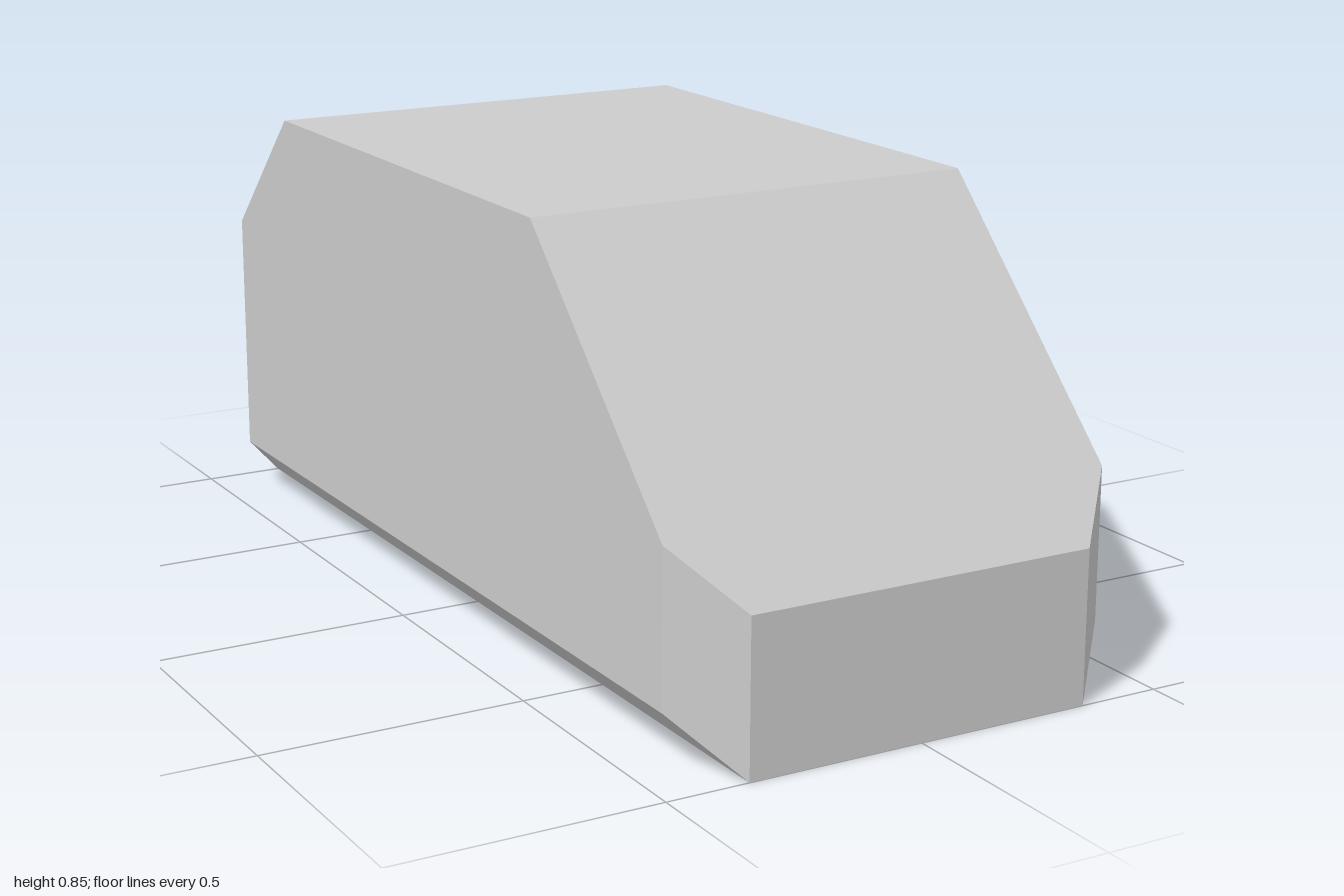
import * as THREE from 'three';
import { ConvexGeometry } from 'three/addons/geometries/ConvexGeometry.js';

export function createModel() {
  const group = new THREE.Group();
  group.name = 'carBody';

  const halfWidth = 0.447, halfLength = 1, chamfer = 0.105;
  const roofY = 0.85, roofFront = 0.44, roofBack = -0.64;
  const inner = halfWidth - chamfer;
  const points = [];

  // Adds a corner and its mirror image across the centre plane
  const pair = (x, y, z) => points.push(new THREE.Vector3(x, y, z), new THREE.Vector3(-x, y, z));

  // Each end: roof edge, 45 degree slope, then the chamfered lower corners
  for (const [dir, roofZ] of [[1, roofFront], [-1, roofBack]]) {
    const endY = roofY - (halfLength - Math.abs(roofZ));
    const sideZ = dir * (halfLength - chamfer);
    pair(halfWidth, roofY, roofZ);
    pair(halfWidth, endY + chamfer, sideZ);
    pair(inner, endY, dir * halfLength);
    pair(halfWidth, chamfer, sideZ);
    pair(inner, 0, dir * halfLength);
  }

  const hull = new THREE.Mesh(
    new ConvexGeometry(points),
    new THREE.MeshStandardMaterial({ color: 0xcccccc, flatShading: true })
  );
  hull.name = 'hull';
  group.add(hull);
  return group;
}
